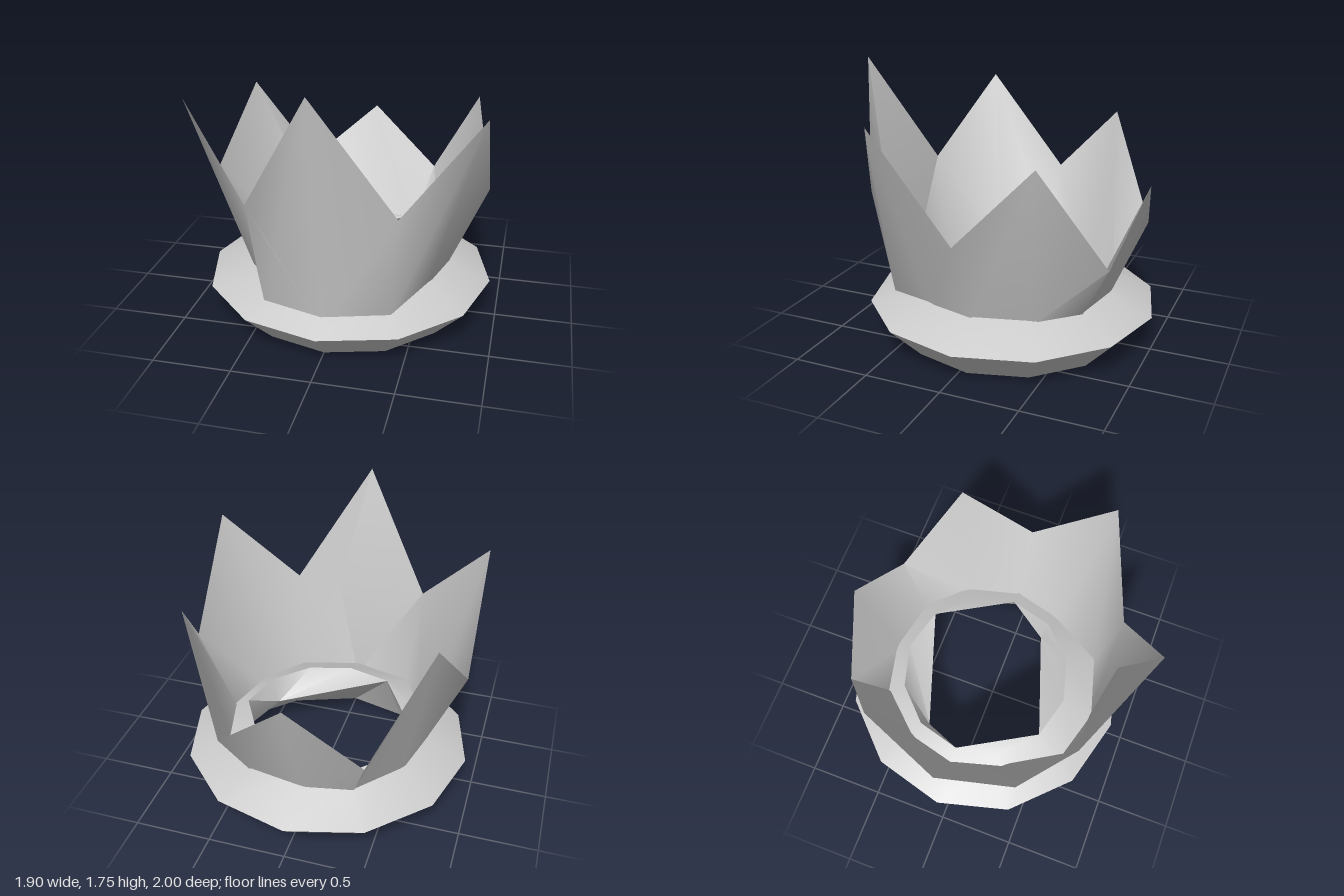
import * as THREE from 'three';
import { toCreasedNormals } from 'three/addons/utils/BufferGeometryUtils.js';

const SIDES = 12;
const CENTRE_Z = -0.05;

// Point on column i (0 = front, turning towards +x)
function polar(r, y, i) {
  const a = (i / SIDES) * Math.PI * 2;
  return new THREE.Vector3(r * Math.sin(a), y, r * Math.cos(a) + CENTRE_Z);
}

function loop(r, y) {
  return Array.from({ length: SIDES }, (_, i) => polar(r, y, i));
}

// Triangles between two closed loops
function strip(lo, hi) {
  return lo.flatMap((p, i) => {
    const j = (i + 1) % lo.length;
    return [[p, lo[j], hi[j]], [p, hi[j], hi[i]]];
  });
}

function makeMesh(name, triangles, crease) {
  const solid = triangles.filter((t) => new THREE.Triangle(...t).getArea() > 1e-6);
  const geometry = new THREE.BufferGeometry().setFromPoints(solid.flat());
  const material = new THREE.MeshStandardMaterial({ color: 0xcccccc, side: THREE.DoubleSide });
  const mesh = new THREE.Mesh(toCreasedNormals(geometry, crease), material);
  mesh.name = name;
  return mesh;
}

// Twelve-sided brim with a wedge section and an uneven six-cornered hole
function makeBrim() {
  const bottom = loop(0.735, 0);
  const outer = loop(0.95, 0.22);
  const top = loop(0.58, 0.388);
  const front = polar(0.52, 0.22, 2);
  const back = polar(0.52, 0.22, 8);
  const hole = [front, front, front, top[3], top[5], top[5],
    back, back, back, top[9], top[11], top[11]];
  return makeMesh('brim', [
    ...strip(bottom, outer), ...strip(outer, top),
    ...strip(top, hole), ...strip(hole, bottom),
  ], 0.7);
}

// Flaring wall with six points, tallest at the front
function makeWall() {
  // front to back: rim radius, rim height, radius and height at the brim
  const columns = [
    [1.05, 1.75, 0.795, 0.29],
    [0.91, 0.98, 0.79, 0.295],
    [1.05, 1.52, 0.667, 0.34],
    [0.91, 0.88, 0.675, 0.34],
    [0.9, 1.35, 0.67, 0.34],
    [0.91, 0.69, 0.695, 0.335],
    [0.9, 1.09, 0.665, 0.34],
  ];
  const rim = [];
  const foot = [];
  for (let i = 0; i < SIDES; i++) {
    const [r, y, brimR, brimY] = columns[Math.min(i, SIDES - i)];
    rim.push(polar(r, y, i));
    // carry the wall a little way into the brim
    foot.push(polar(r, y, i).lerp(polar(brimR, brimY, i), 1.06));
  }
  const wall = makeMesh('wall', strip(foot, rim), 1.0);

  // Overlapping end of the sheet behind the front point
  const seam = new THREE.Vector3(0.17, 0.91, 0.8);
  const flap = makeMesh('frontFlap', [
    [rim[11], seam, rim[0]],
    [rim[11], foot[0], seam],
  ], 0.4);
  return [wall, flap];
}

export function createModel() {
  const group = new THREE.Group();
  group.name = 'crown';
  group.add(makeBrim(), ...makeWall());
  return group;
}
